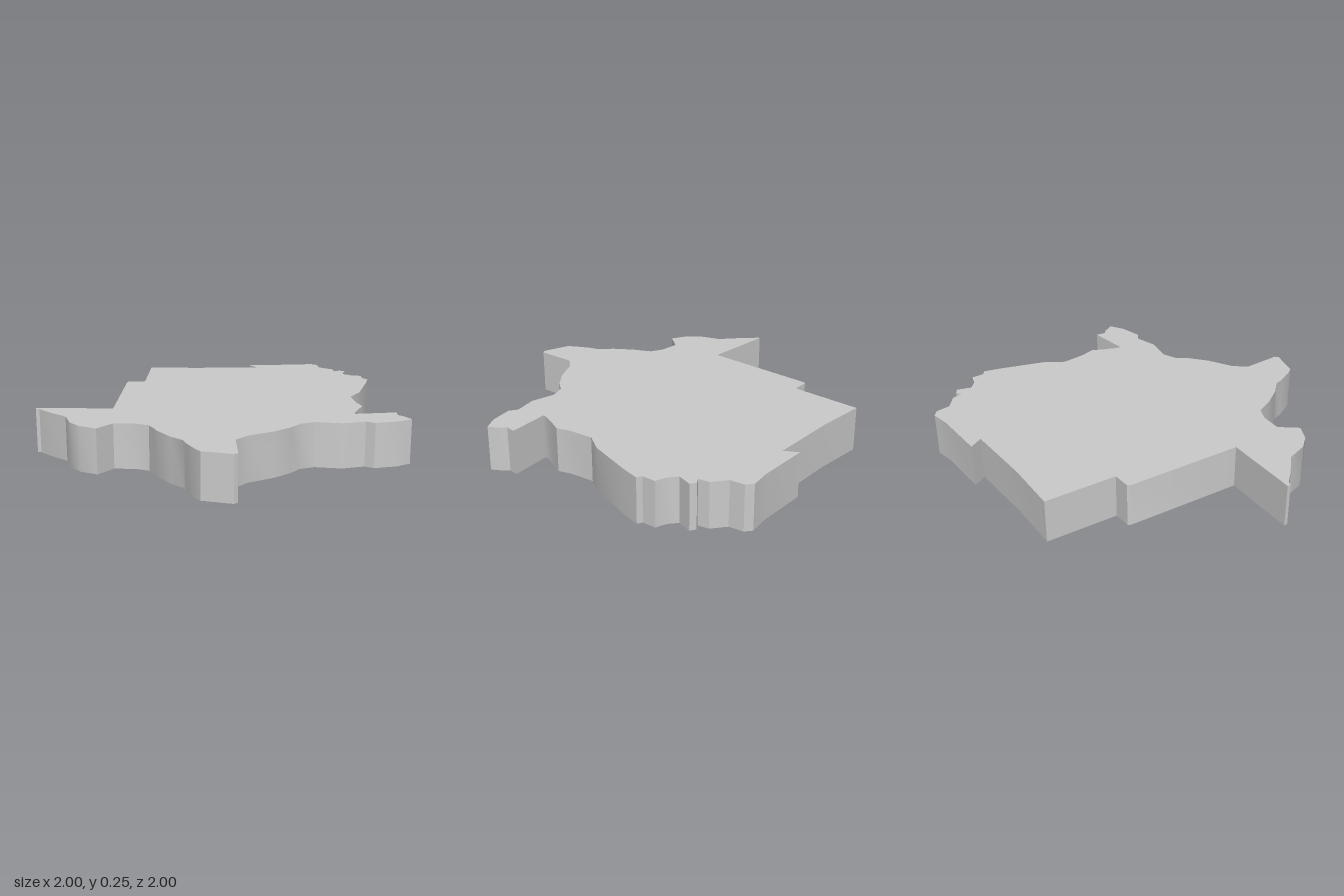
import * as THREE from 'three';
import { toCreasedNormals } from 'three/addons/utils/BufferGeometryUtils.js';

const HEIGHT = 0.245;

// Outline seen from above as [x, z], clockwise from the back right corner
const backEdge = [
  [-0.4, -0.93], [-0.1, -0.91], [0.285, -0.91], [0.245, -0.985], [0.54, -0.985], [0.65, -1],
];
const leftEdge = [
  [0.685, -0.97], [0.693, -0.89], [0.765, -0.83], [0.775, -0.77], [0.807, -0.79], [0.837, -0.77],
  [0.81, -0.69], [0.855, -0.65], [0.915, -0.63], [0.915, -0.555], [0.942, -0.54], [0.915, -0.44],
  [0.83, -0.19], [0.76, -0.085], [0.77, 0.055], [0.79, 0.13], [0.755, 0.2], [0.725, 0.27], [0.72, 0.297],
];
const leftSpur = [
  [0.95, 0.275], [0.942, 0.33], [0.965, 0.35], [1, 0.415], [0.92, 0.46], [0.795, 0.485], [0.75, 0.455],
];
const frontEdge = [
  [0.625, 0.485], [0.485, 0.455], [0.405, 0.485], [0.35, 0.55], [0.255, 0.625], [0.12, 0.695],
  [0.055, 0.765], [0.055, 0.985], [0.035, 1], [-0.12, 0.95], [-0.145, 0.91], [-0.185, 0.82],
  [-0.2, 0.765], [-0.265, 0.695], [-0.33, 0.59], [-0.35, 0.54], [-0.375, 0.485], [-0.445, 0.45], [-0.56, 0.44],
];
const rightEdge = [
  [-0.64, 0.535], [-0.73, 0.485], [-0.785, 0.415], [-0.82, 0.295], [-0.92, 0.2], [-0.98, 0.13],
  [-1, 0.125], [-1, 0.105], [-0.58, 0.13], [-0.535, -0.515], [-0.525, -0.53], [-0.428, -0.53],
];

export function createModel() {
  const group = new THREE.Group();
  group.name = 'mapSlab';

  // Flat slab raised from the outline, with sharp corners and softened curves
  const outline = [...backEdge, ...leftEdge, ...leftSpur, ...frontEdge, ...rightEdge];
  const shape = new THREE.Shape(outline.map(([x, z]) => new THREE.Vector2(x, -z)));
  const solid = new THREE.ExtrudeGeometry(shape, { depth: HEIGHT, bevelEnabled: false });
  solid.rotateX(-Math.PI / 2);

  const slab = new THREE.Mesh(
    toCreasedNormals(solid, THREE.MathUtils.degToRad(30)),
    new THREE.MeshStandardMaterial({ color: 0xcccccc }),
  );
  slab.name = 'regionSlab';
  group.add(slab);
  return group;
}
